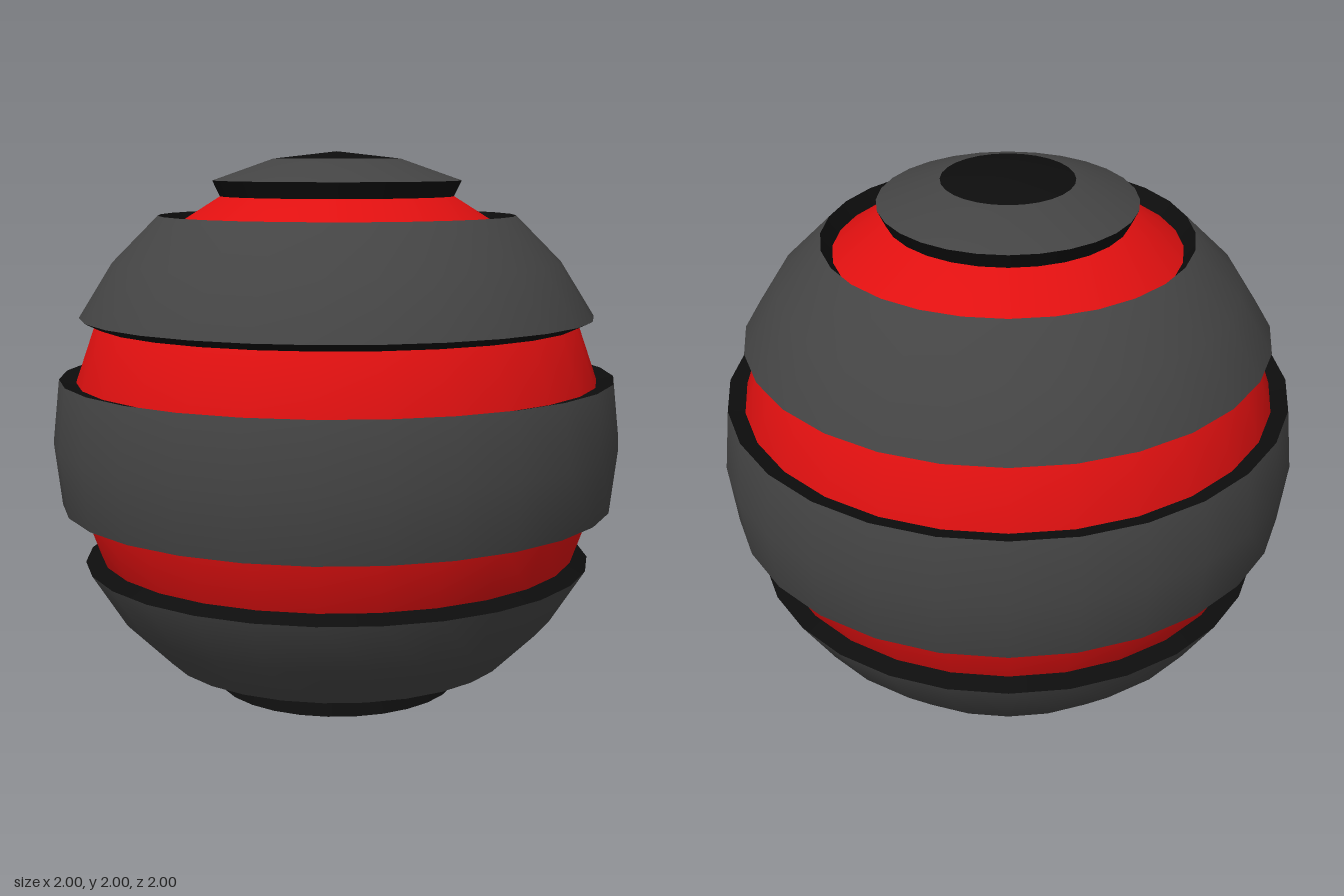
import * as THREE from 'three';

const STEP = Math.PI / 14; // one latitude ring
const SIDES = 28;
const OUTER = 1, INNER = 0.94;

const gray = new THREE.MeshStandardMaterial({ color: 0x444444 });
gray.name = 'dark gray';
const red = new THREE.MeshStandardMaterial({ color: 0xe01010 });
red.name = 'red';
const black = new THREE.MeshStandardMaterial({ color: 0x0d0d0d });
black.name = 'black';

// point on the profile, n rings above the equator
const at = (r, n) => new THREE.Vector2(Math.max(0, r * Math.cos(n * STEP)), r * Math.sin(n * STEP));

// curved piece of the outer sphere between two rings
function shell(name, from, to, material) {
  const points = [];
  for (let n = from; n <= to; n++) points.push(at(OUTER, n));
  const geo = new THREE.LatheGeometry(points, SIDES);
  const pos = geo.attributes.position, v = new THREE.Vector3();
  for (let i = 0; i < pos.count; i++) {
    v.fromBufferAttribute(pos, i).normalize();
    geo.attributes.normal.setXYZ(i, v.x, v.y, v.z);
  }
  const mesh = new THREE.Mesh(geo, material);
  mesh.name = name;
  return mesh;
}

// radial edge joining the outer shell to the core
function lip(name, n, top) {
  const points = top ? [at(OUTER, n), at(INNER, n)] : [at(INNER, n), at(OUTER, n)];
  const mesh = new THREE.Mesh(new THREE.LatheGeometry(points, SIDES), black);
  mesh.name = name;
  return mesh;
}

export function createModel() {
  const model = new THREE.Group();
  model.name = 'bandedBall';
  const ball = new THREE.Group();
  ball.name = 'ball';
  ball.position.y = 1;
  model.add(ball);

  // red inner sphere
  const core = new THREE.Mesh(new THREE.SphereGeometry(INNER, SIDES, 14), red);
  core.name = 'core';
  ball.add(core);

  // equator band
  ball.add(shell('equatorBand', -1, 1, gray), lip('equatorTopEdge', 1, true), lip('equatorBottomEdge', -1, false));

  // upper and lower bands, end rings and pole caps
  ball.add(shell('upperBand', 2, 4, gray), lip('upperBandTopEdge', 4, true), lip('upperBandBottomEdge', 2, false));
  ball.add(shell('lowerBand', -4, -2, gray), lip('lowerBandTopEdge', -2, true), lip('lowerBandBottomEdge', -4, false));
  ball.add(shell('topRing', 5, 6, gray), lip('topRingEdge', 5, false), shell('topCap', 6, 7, black));
  ball.add(shell('bottomRing', -6, -5, gray), lip('bottomRingEdge', -5, true), shell('bottomCap', -7, -6, black));

  return model;
}
